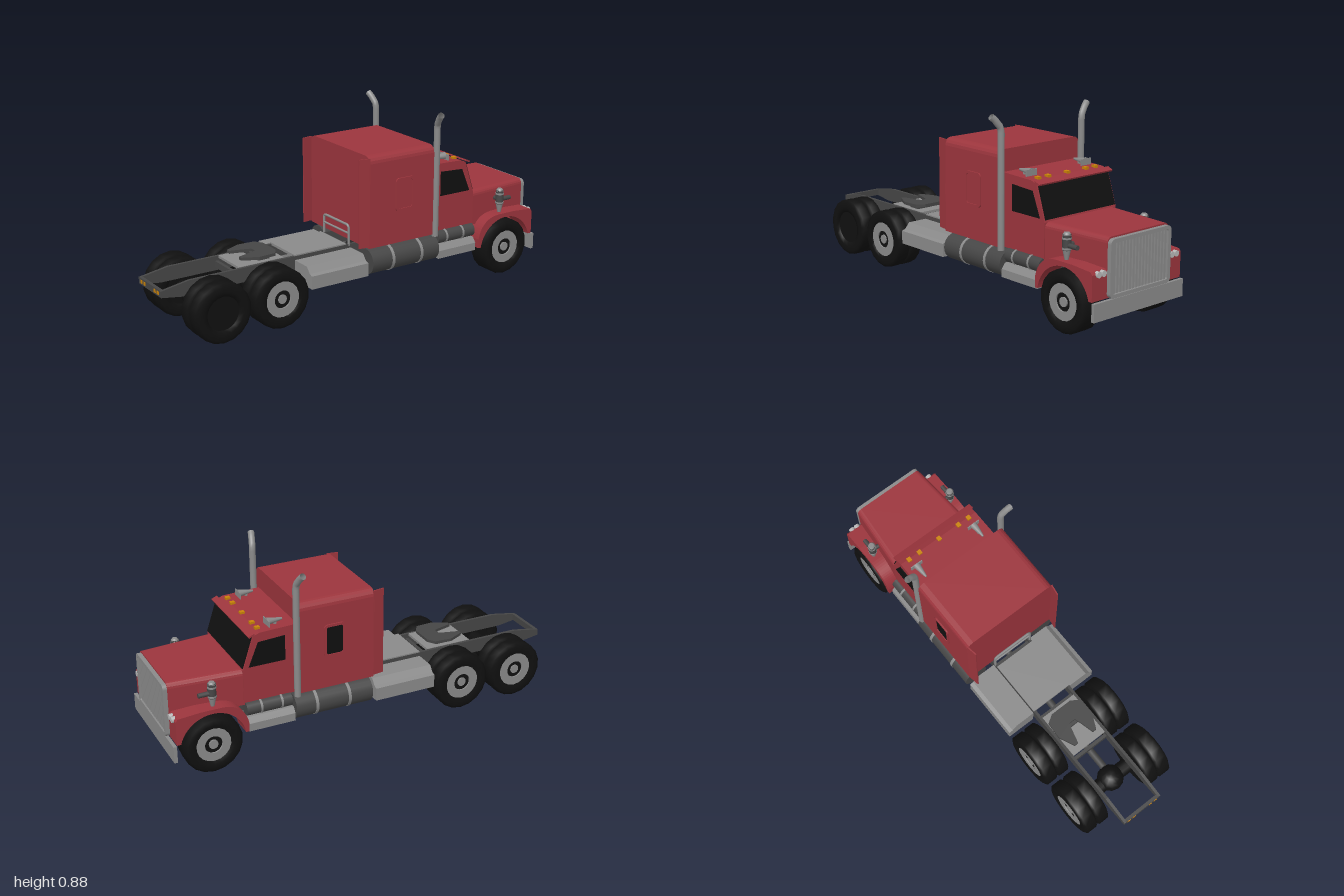
import * as THREE from 'three';

const mat = (name, color, side = THREE.FrontSide) => {
  const m = new THREE.MeshStandardMaterial({ color, side });
  m.name = name;
  return m;
};

export function createModel() {
  const truck = new THREE.Group();
  truck.name = 'truck';
  const red = mat('red paint', 0x9c353d), grey = mat('light metal', 0x8a8a8a);
  const dark = mat('dark metal', 0x464646), black = mat('black', 0x101010);
  const amber = mat('amber lamp', 0xc98208), lamp = mat('headlamp', 0xb8b8b8);

  // helpers: the truck faces +x
  const add = (name, geo, m, x = 0, y = 0, z = 0) => {
    const mesh = new THREE.Mesh(geo, m);
    mesh.name = name;
    mesh.position.set(x, y, z);
    truck.add(mesh);
    return mesh;
  };
  const box = (name, m, x0, x1, y0, y1, z0, z1) => add(name,
    new THREE.BoxGeometry(x1 - x0, y1 - y0, z1 - z0), m, (x0 + x1) / 2, (y0 + y1) / 2, (z0 + z1) / 2);
  const poly = pts => new THREE.Shape(pts.map(p => new THREE.Vector2(...p)));
  const slab = (shape, depth) => // x-y outline, centred in z
    new THREE.ExtrudeGeometry(shape, { depth, bevelEnabled: false, curveSegments: 14 }).translate(0, 0, -depth / 2);
  const along = (pts, x0, x1) => // z-y section swept along x
    new THREE.ExtrudeGeometry(poly(pts.map(([z, y]) => [-z, y])), { depth: x1 - x0, bevelEnabled: false })
      .rotateY(Math.PI / 2).translate(x0, 0, 0);
  const cylX = (name, m, r, x0, x1, y, z, n = 20) =>
    add(name, new THREE.CylinderGeometry(r, r, x1 - x0, n).rotateZ(Math.PI / 2), m, (x0 + x1) / 2, y, z);
  const cylZ = (name, m, r, x, y, z, len, n = 20) =>
    add(name, new THREE.CylinderGeometry(r, r, len, n).rotateX(Math.PI / 2), m, x, y, z);
  const tube = (name, m, pts, r) => {
    const path = new THREE.CurvePath();
    const v = pts.map(p => new THREE.Vector3(...p));
    for (let i = 1; i < v.length; i++) path.add(new THREE.LineCurve3(v[i - 1], v[i]));
    return add(name, new THREE.TubeGeometry(path, 40, r, 12), m);
  };
  const roundTop = (w, y0, y1, r) => {
    const arc = [];
    for (let i = 0; i <= 4; i++) {
      const a = i * Math.PI / 8;
      arc.push([w - r + r * Math.cos(a), y1 - r + r * Math.sin(a)]);
    }
    return [[-w, y0], [w, y0], ...arc, ...arc.map(([z, y]) => [-z, y]).reverse()];
  };
  const roundRect = (w, h, r) => {
    const s = new THREE.Shape();
    s.absarc(w / 2 - r, h / 2 - r, r, 0, Math.PI / 2);
    s.absarc(-w / 2 + r, h / 2 - r, r, Math.PI / 2, Math.PI);
    s.absarc(-w / 2 + r, -h / 2 + r, r, Math.PI, Math.PI * 1.5);
    s.absarc(w / 2 - r, -h / 2 + r, r, Math.PI * 1.5, Math.PI * 2);
    s.closePath();
    return s;
  };

  // sleeper, cab and tapered hood
  add('sleeper', along(roundTop(0.246, 0.28, 0.72, 0.035), 0, 0.37), red);
  add('cab', slab(poly([[0.37, 0.28], [0.635, 0.28], [0.635, 0.44], [0.582, 0.6], [0.55, 0.612], [0.37, 0.618]]), 0.44), red);
  const hood = along(roundTop(0.217, 0.27, 0.442, 0.025), 0.62, 0.975);
  const hp = hood.attributes.position;
  for (let i = 0; i < hp.count; i++) {
    hp.setZ(i, hp.getZ(i) * (1 - 0.14 * (hp.getX(i) - 0.62) / 0.355));
  }
  hood.computeVertexNormals();
  add('hood', hood, red);
  box('radiatorShell', red, 0.945, 0.975, 0.18, 0.3, -0.185, 0.185);
  box('firewall', dark, 0.6, 0.64, 0.18, 0.3, -0.17, 0.17);
  box('engine', dark, 0.64, 0.93, 0.2, 0.275, -0.08, 0.08);

  // windshield and sun visor
  const tilt = Math.atan2(0.053, 0.16);
  add('windshield', new THREE.BoxGeometry(0.008, 0.153, 0.425), black, 0.61, 0.523, 0).rotation.z = tilt;
  add('sunVisor', new THREE.BoxGeometry(0.03, 0.008, 0.45), red, 0.59, 0.605, 0).rotation.z = -0.4;

  // grille: rounded frame, dark panel and upright bars
  const frame = roundRect(0.37, 0.256, 0.022);
  frame.holes.push(roundRect(0.334, 0.222, 0.008));
  add('grilleFrame', slab(frame, 0.03).rotateY(Math.PI / 2), grey, 0.98, 0.307, 0);
  box('grillePanel', dark, 0.97, 0.978, 0.19, 0.425, -0.172, 0.172);
  for (let i = 0; i < 17; i++) {
    const z = (i - 8) * 0.0195;
    box('grilleBar', grey, 0.976, 0.988, 0.197, 0.418, z - 0.0058, z + 0.0058);
  }
  box('bumper', grey, 0.976, 0.992, 0.096, 0.176, -0.275, 0.275);

  // wheels
  const tyre = (x, z, w) => {
    const h = w / 2;
    const pts = [[0.08, -h * 0.85], [0.1, -h], [0.125, -h], [0.14, -h * 0.75], [0.14, h * 0.75],
      [0.125, h], [0.1, h], [0.08, h * 0.85], [0.08, -h * 0.85]].map(p => new THREE.Vector2(...p));
    add('tyre', new THREE.LatheGeometry(pts, 18).rotateX(Math.PI / 2), black, x, 0.14, z);
    cylZ('wheelCore', black, 0.084, x, 0.14, z, w * 0.7);
  };
  const rim = (x, z, s) => {
    const ring = new THREE.Shape().absarc(0, 0, 0.085, 0, Math.PI * 2);
    ring.holes.push(new THREE.Path().absarc(0, 0, 0.042, 0, Math.PI * 2));
    add('rim', slab(ring, 0.008), grey, x, 0.14, z);
    cylZ('hub', grey, 0.022, x, 0.14, z - s * 0.002, 0.01, 12);
  };

  for (const s of [1, -1]) {
    tyre(0.805, s * 0.226, 0.106);
    rim(0.805, s * 0.268, s);
    for (const x of [-0.475, -0.775]) {
      tyre(x, s * 0.153, 0.066);
      tyre(x, s * 0.224, 0.07);
      if (s < 0 || x > -0.6) rim(x, s * 0.251, s);
    }

    // front fender with wheel arch
    const f = new THREE.Shape();
    f.moveTo(0.635, 0.165);
    f.lineTo(0.635, 0.21);
    f.quadraticCurveTo(0.655, 0.312, 0.76, 0.316);
    f.lineTo(0.86, 0.316);
    f.lineTo(0.965, 0.308);
    f.lineTo(0.975, 0.295);
    f.lineTo(0.975, 0.18);
    f.lineTo(0.958, 0.18);
    f.absarc(0.805, 0.14, 0.156, 0.26, Math.PI - 0.16, false);
    add('fender', slab(f, 0.1), red, 0, 0, s * 0.223);
    for (const z of [0.21, 0.239]) cylX('headlight', lamp, 0.0145, 0.965, 0.984, 0.294, s * z, 8);

    // side glass of the cab
    add('doorWindow', slab(poly([[0.432, 0.575], [0.56, 0.568], [0.607, 0.455], [0.432, 0.455]]), 0.006), black, 0, 0, s * 0.221);

    // sleeper window and rear side fairing
    const trim = roundRect(0.105, 0.16, 0.018);
    trim.holes.push(roundRect(0.081, 0.136, 0.01));
    add('sleeperWindowTrim', slab(trim, 0.01), red, 0.2, 0.515, s * 0.248);
    add('sleeperWindow', slab(roundRect(0.085, 0.14, 0.01), 0.004), s < 0 ? black : red, 0.2, 0.515, s * 0.2465);
    add('sideFairing', new THREE.BoxGeometry(0.056, 0.425, 0.006), red, -0.024, 0.5, s * 0.239).rotation.y = s * -0.16;

    // exhaust stack curving outward
    tube('exhaustStack', grey, [[0.385, 0.27, s * 0.245], [0.385, 0.8, s * 0.245], [0.383, 0.825, s * 0.25],
      [0.375, 0.858, s * 0.275], [0.37, 0.872, s * 0.292]], 0.0155).material = pipe();
    // air cleaner
    const ax = 0.79, az = s * 0.238;
    add('airCleaner', new THREE.CylinderGeometry(0.019, 0.019, 0.07, 16), dark, ax, 0.393, az);
    add('airCleanerCap', new THREE.CylinderGeometry(0.012, 0.02, 0.012, 16), grey, ax, 0.43, az);
    for (const y of [0.365, 0.41]) add('airCleanerBand', new THREE.CylinderGeometry(0.0205, 0.0205, 0.008, 16), grey, ax, y, az);
    add('airCleanerBase', new THREE.CylinderGeometry(0.018, 0.008, 0.045, 16), grey, ax, 0.336, az);
    cylX('airIntake', dark, 0.011, ax, 0.855, 0.38, az, 12);
    cylZ('airDuct', dark, 0.011, ax, 0.38, s * 0.215, 0.05, 12);

    // fuel tank, air tank, steps
    cylX('fuelTank', dark, 0.062, 0.012, 0.398, 0.205, s * 0.203);
    for (const x of [0.13, 0.295]) cylX('tankStrap', grey, 0.0645, x - 0.007, x + 0.007, 0.205, s * 0.203);
    cylX('airTank', dark, 0.033, 0.41, 0.63, 0.25, s * 0.215, 16);
    for (const x of [0.46, 0.56]) cylX('airTankStrap', grey, 0.035, x - 0.005, x + 0.005, 0.25, s * 0.215, 16);
    const step = [[0.11, 0.152], [0.255, 0.152], [0.255, 0.215], [0.236, 0.222], [0.212, 0.25], [0.11, 0.25]];
    add('rearStep', along(step.map(([z, y]) => [s * z, y]), -0.32, -0.01), grey);
    const cabStep = [[0.12, 0.152], [0.255, 0.152], [0.255, 0.19], [0.235, 0.215], [0.12, 0.215]];
    add('cabStep', along(cabStep.map(([z, y]) => [s * z, y]), 0.402, 0.63), grey);

    // frame rail and tail lamps
    add('frameRail', slab(poly([[-1, 0.215], [-0.9, 0.2], [0.95, 0.2], [0.95, 0.268], [-0.86, 0.268], [-1, 0.245]]), 0.014), dark, 0, 0, s * 0.102);
    for (const z of [0.05, 0.08]) box('tailLamp', amber, -1.002, -0.996, 0.223, 0.239, s * z - 0.009, s * z + 0.009);

    // roof horns
    add('horn', new THREE.CylinderGeometry(0.018, 0.005, 0.075, 12).rotateZ(-Math.PI / 2), grey, 0.458, 0.632, s * 0.167);
    box('hornMount', grey, 0.45, 0.462, 0.61, 0.632, s * 0.167 - 0.008, s * 0.167 + 0.008);
    box('hornPlate', grey, 0.492, 0.497, 0.615, 0.644, s * 0.167 - 0.032, s * 0.167 + 0.032);
  }
  function pipe() {
    grey.side = THREE.DoubleSide; // open pipe ends
    return grey;
  }

  // roof marker lamps
  for (const z of [-0.175, -0.115, 0, 0.115, 0.175]) {
    box('markerLamp', amber, 0.533, 0.555, 0.606, 0.622, z - 0.01, z + 0.01);
  }

  // axles and cross members
  for (const x of [-0.475, -0.775]) {
    cylZ('rearAxle', black, 0.037, x, 0.14, 0, 0.3, 12);
    add('differential', new THREE.SphereGeometry(0.065, 12, 8), black, x, 0.145, 0);
  }
  cylZ('frontAxle', dark, 0.02, 0.805, 0.14, 0, 0.4, 10);
  cylX('driveShaft', dark, 0.018, -0.72, 0.64, 0.185, 0, 10);
  for (const x of [-0.992, -0.615, -0.36, -0.02, 0.3]) box('crossMember', dark, x - 0.008, x + 0.008, 0.215, 0.246, -0.1, 0.1);

  // deck plate, rack behind the sleeper and trailer coupling
  box('deckPlate', grey, -0.32, -0.035, 0.262, 0.274, -0.108, 0.108);
  tube('rearRack', grey, [[-0.018, 0.26, -0.105], [-0.018, 0.35, -0.105], [-0.018, 0.36, -0.095],
    [-0.018, 0.36, 0.095], [-0.018, 0.35, 0.105], [-0.018, 0.26, 0.105]], 0.006);
  tube('rackBar', grey, [[-0.018, 0.32, -0.105], [-0.018, 0.32, 0.105]], 0.005);
  box('couplingBase', grey, -0.605, -0.37, 0.258, 0.27, -0.095, 0.095);
  const half = [[-0.39, 0.055], [-0.415, 0.095], [-0.5, 0.1], [-0.575, 0.065], [-0.575, 0.045], [-0.51, 0.028], [-0.475, 0.016]];
  const shoe = poly([...half, ...half.map(([x, z]) => [x, -z]).reverse()]);
  add('couplingPlate', slab(shoe, 0.014).rotateX(-Math.PI / 2), dark, 0, 0.293, 0);
  box('couplingMount', dark, -0.49, -0.43, 0.265, 0.288, -0.07, 0.07);

  return truck;
}
